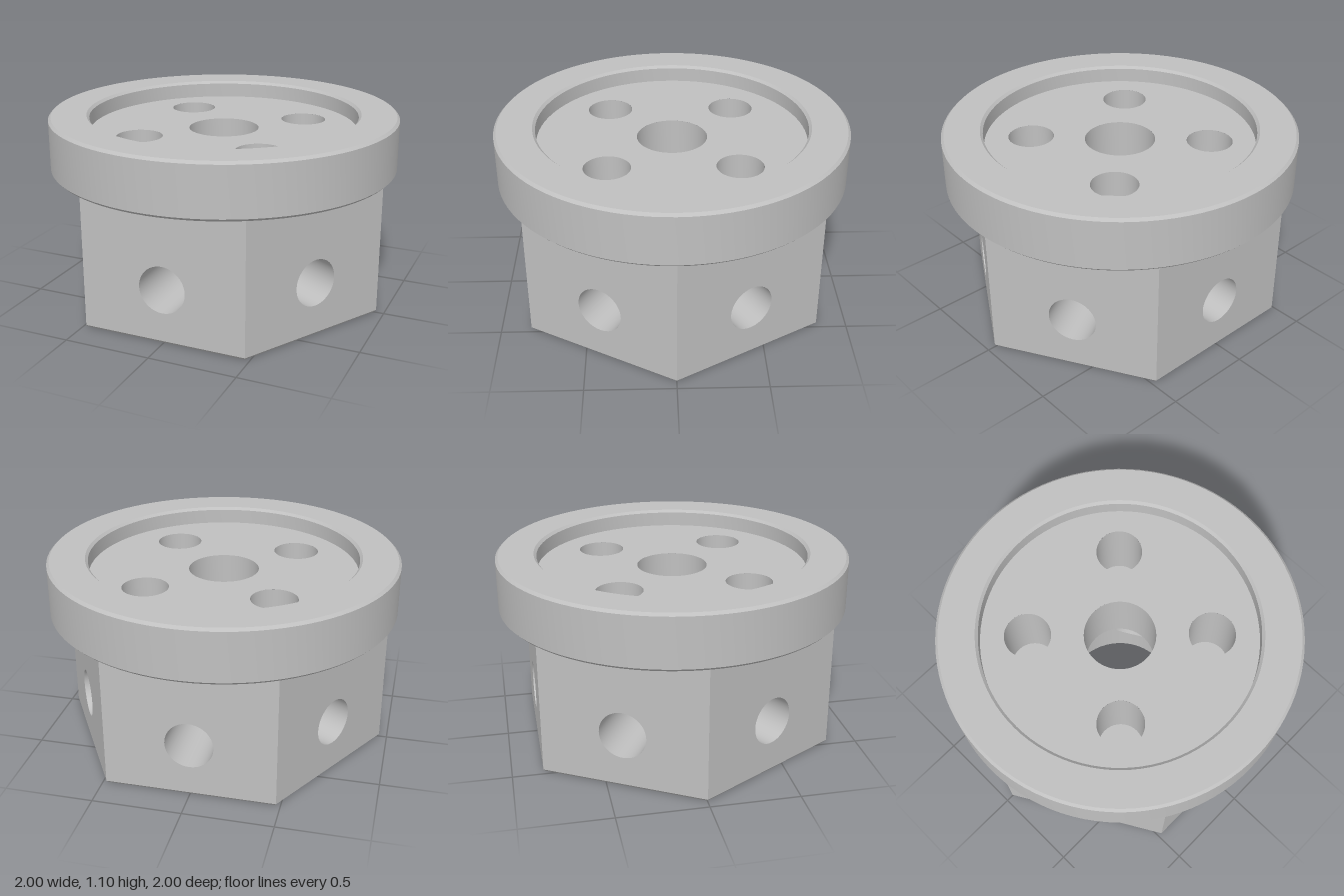
import * as THREE from 'three';
import { toCreasedNormals } from 'three/addons/utils/BufferGeometryUtils.js';
import { ParametricGeometry } from 'three/addons/geometries/ParametricGeometry.js';

const HEX_R = 0.955, APOTHEM = HEX_R * Math.cos(Math.PI / 6);
const BEVEL = 0.015, FLANGE_Y = 0.79, TOP_Y = 1.1, FLOOR_Y = 1.0;
const BORE_R = 0.34, BORE_TOP = 0.6, SHAFT_R = 0.2;
const SIDE_R = 0.135, SIDE_Y = 0.315;
const SCREW_R = 0.13, SCREW_AT = 0.36, SCREW_BOTTOM = 0.55;

export function createModel() {
  const group = new THREE.Group();
  const metal = new THREE.MeshStandardMaterial({ color: 0xc0c0c0 });
  metal.name = 'grey metal';

  const add = (name, geometry, parent = group) => {
    const mesh = new THREE.Mesh(geometry, metal);
    mesh.name = name;
    parent.add(mesh);
    return mesh;
  };
  const lathe = (points, segments) => toCreasedNormals(
    new THREE.LatheGeometry(points.map(([r, y]) => new THREE.Vector2(r, y)), segments), 0.5);
  const circle = (x, y, r) => new THREE.Path().absarc(x, y, r, 0, Math.PI * 2, true);

  // Rectangle around a side hole: u runs from the hole edge to the border, v around the hole
  const around = (u, angle, edgeX, halfWidth, y0, y1) => {
    const c = Math.cos(angle), s = Math.sin(angle), m = Math.max(Math.abs(c), Math.abs(s));
    const borderY = SIDE_Y + (s / m) * (s > 0 ? y1 - SIDE_Y : SIDE_Y - y0);
    return [
      THREE.MathUtils.lerp(edgeX(SIDE_R * c), (c / m) * halfWidth, u),
      THREE.MathUtils.lerp(SIDE_Y + SIDE_R * s, borderY, u)
    ];
  };

  const hexFace = new ParametricGeometry((u, v, p) => {
    const [x, y] = around(u, v * Math.PI * 2, x => x, HEX_R / 2, BEVEL, FLANGE_Y);
    p.set(x, y, APOTHEM);
  }, 1, 48);

  const boreWall = new ParametricGeometry((u, v, p) => {
    const [a, y] = around(u, -v * Math.PI * 2, x => Math.asin(x / BORE_R), Math.PI / 6, 0, BORE_TOP);
    p.set(BORE_R * Math.sin(a), y, BORE_R * Math.cos(a));
  }, 6, 48);

  const tunnel = new ParametricGeometry((u, v, p) => {
    const x = SIDE_R * Math.cos(v * Math.PI * 2);
    const inner = Math.sqrt(BORE_R ** 2 - x ** 2);
    p.set(x, SIDE_Y + SIDE_R * Math.sin(v * Math.PI * 2), THREE.MathUtils.lerp(inner, APOTHEM, u));
  }, 1, 48);

  // Six hexagon sides, each with a radial hole into the bore
  for (let i = 0; i < 6; i++) {
    const side = new THREE.Group();
    side.name = 'hexSide';
    side.rotation.y = i * Math.PI / 3;
    add('hexFace', hexFace, side);
    add('radialHole', tunnel, side);
    add('boreWall', boreWall, side);
    group.add(side);
  }

  // Bevelled lower edge and underside of the hexagon
  const bevel = new THREE.CylinderGeometry(HEX_R, HEX_R - BEVEL, BEVEL, 6, 1, true, Math.PI / 6);
  add('hexBevel', toCreasedNormals(bevel, 0.1)).position.y = BEVEL / 2;
  const hex = new THREE.Shape();
  for (let i = 0; i < 6; i++) {
    const a = i * Math.PI / 3, r = HEX_R - BEVEL;
    hex[i ? 'lineTo' : 'moveTo'](r * Math.cos(a), r * Math.sin(a));
  }
  hex.closePath();
  hex.holes.push(circle(0, 0, BORE_R));
  add('hexUnderside', new THREE.ShapeGeometry(hex, 48).rotateX(Math.PI / 2));

  // Round flange with a raised rim
  add('flange', lathe([
    [0.82, FLANGE_Y], [0.985, FLANGE_Y], [1, FLANGE_Y + BEVEL], [1, TOP_Y - BEVEL],
    [0.985, TOP_Y], [0.785, TOP_Y], [0.77, TOP_Y - BEVEL], [0.77, FLOOR_Y]
  ], 96));

  // Recessed floor with the shaft hole and four screw holes
  const floor = new THREE.Shape().absarc(0, 0, 0.77, 0, Math.PI * 2, false);
  floor.holes.push(circle(0, 0, SHAFT_R));
  const screwHole = lathe([[SCREW_R, FLOOR_Y], [SCREW_R, SCREW_BOTTOM], [0, SCREW_BOTTOM]], 40);
  for (const x of [-SCREW_AT, SCREW_AT]) {
    for (const z of [-SCREW_AT, SCREW_AT]) {
      floor.holes.push(circle(x, z, SCREW_R));
      add('screwHole', screwHole).position.set(x, 0, z);
    }
  }
  add('recessFloor', new THREE.ShapeGeometry(floor, 48).rotateX(-Math.PI / 2).translate(0, FLOOR_Y, 0));

  // Shaft hole opening into the wider bore
  add('shaftHole', lathe([[SHAFT_R, FLOOR_Y], [SHAFT_R, BORE_TOP], [BORE_R, BORE_TOP]], 48));

  return group;
}
